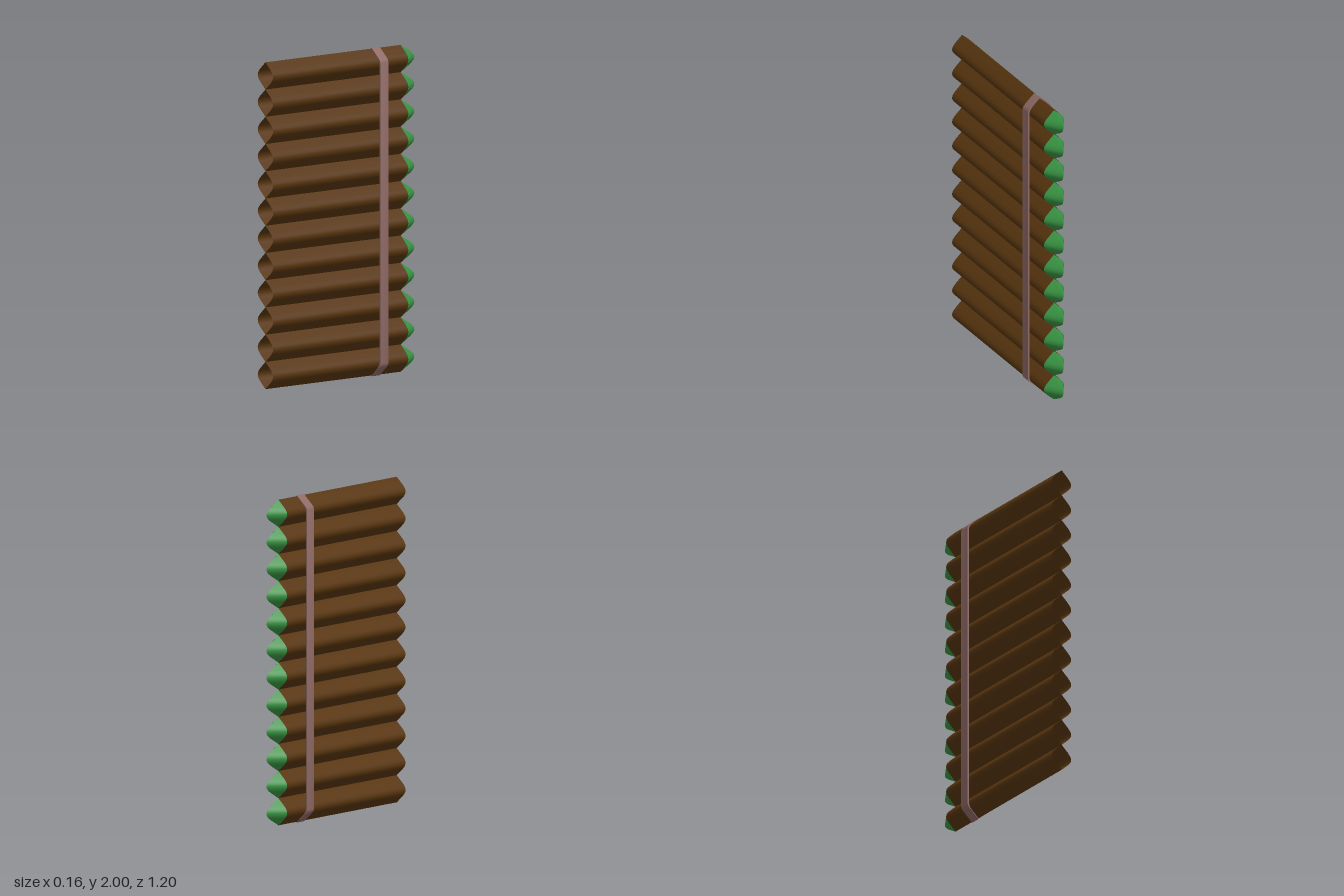
import * as THREE from 'three';
import { toCreasedNormals } from 'three/addons/utils/BufferGeometryUtils.js';

const COUNT = 12, PITCH = 0.1658, HALF = 0.083, WIDE = 0.07;
const FRONT = 0.6, NECK = -0.49, TIP = -0.6;

// right half of the rounded diamond section, from top to bottom
const upper = [[0, HALF], [0.045, 0.042], [0.058, 0.028], [0.067, 0.014], [WIDE, 0]];
const section = [...upper, ...upper.slice(0, -1).reverse().map(([x, y]) => [x, -y])];

// ruled strip between two rows of points, mirrored to both sides
function mirroredStrip(rowA, rowB) {
  const pos = [];
  for (const side of [1, -1]) {
    const put = (...pts) => {
      if (side < 0) pts.reverse();
      pts.forEach(([x, y, z]) => pos.push(x * side, y, z));
    };
    for (let i = 0; i < rowA.length - 1; i++) {
      put(rowA[i], rowB[i], rowA[i + 1]);
      put(rowB[i], rowB[i + 1], rowA[i + 1]);
    }
  }
  const geo = new THREE.BufferGeometry();
  geo.setAttribute('position', new THREE.Float32BufferAttribute(pos, 3));
  return toCreasedNormals(geo, 0.7);
}

export function createModel() {
  const group = new THREE.Group();
  const brown = new THREE.MeshStandardMaterial({ color: 0x57350f, side: THREE.DoubleSide });
  const green = new THREE.MeshStandardMaterial({ color: 0x379242, side: THREE.DoubleSide });
  const pink = new THREE.MeshStandardMaterial({ color: 0x8f6a66 });

  // open tube, and a tip that folds the section flat into an upright ridge
  const at = (z) => section.map(([x, y]) => [x, y, z]);
  const ridge = section.map(([x, y]) => [0, y, NECK + (TIP - NECK) * x / WIDE]);
  const tubeGeo = mirroredStrip(at(FRONT), at(NECK));
  const tipGeo = mirroredStrip(at(NECK), ridge);

  for (let i = 0; i < COUNT; i++) {
    const stick = new THREE.Group();
    stick.name = 'stick' + (i + 1);
    const tube = new THREE.Mesh(tubeGeo, brown);
    tube.name = 'tube';
    const tip = new THREE.Mesh(tipGeo, green);
    tip.name = 'tip';
    stick.add(tube, tip);
    stick.position.y = 1 + (i - (COUNT - 1) / 2) * PITCH;
    group.add(stick);
  }

  // band looped around the whole stack, pointed at top and bottom
  const loop = (w, h) => {
    const q = [[0, h], [w * 0.72, h - 0.052], [w * 0.93, h - 0.068], [w, h - 0.085]];
    const right = [...q, ...q.slice().reverse().map(([x, y]) => [x, -y])];
    const left = right.slice(1, -1).reverse().map(([x, y]) => [-x, y]);
    return [...right, ...left].map(([x, y]) => new THREE.Vector2(x, y + 1));
  };
  const shape = new THREE.Shape(loop(0.081, 1));
  shape.holes.push(new THREE.Path(loop(0.071, 0.993)));
  const bandGeo = new THREE.ExtrudeGeometry(shape, { depth: 0.065, bevelEnabled: false });
  const band = new THREE.Mesh(toCreasedNormals(bandGeo, 0.5), pink);
  band.name = 'band';
  band.position.z = -0.32;
  group.add(band);
  return group;
}
